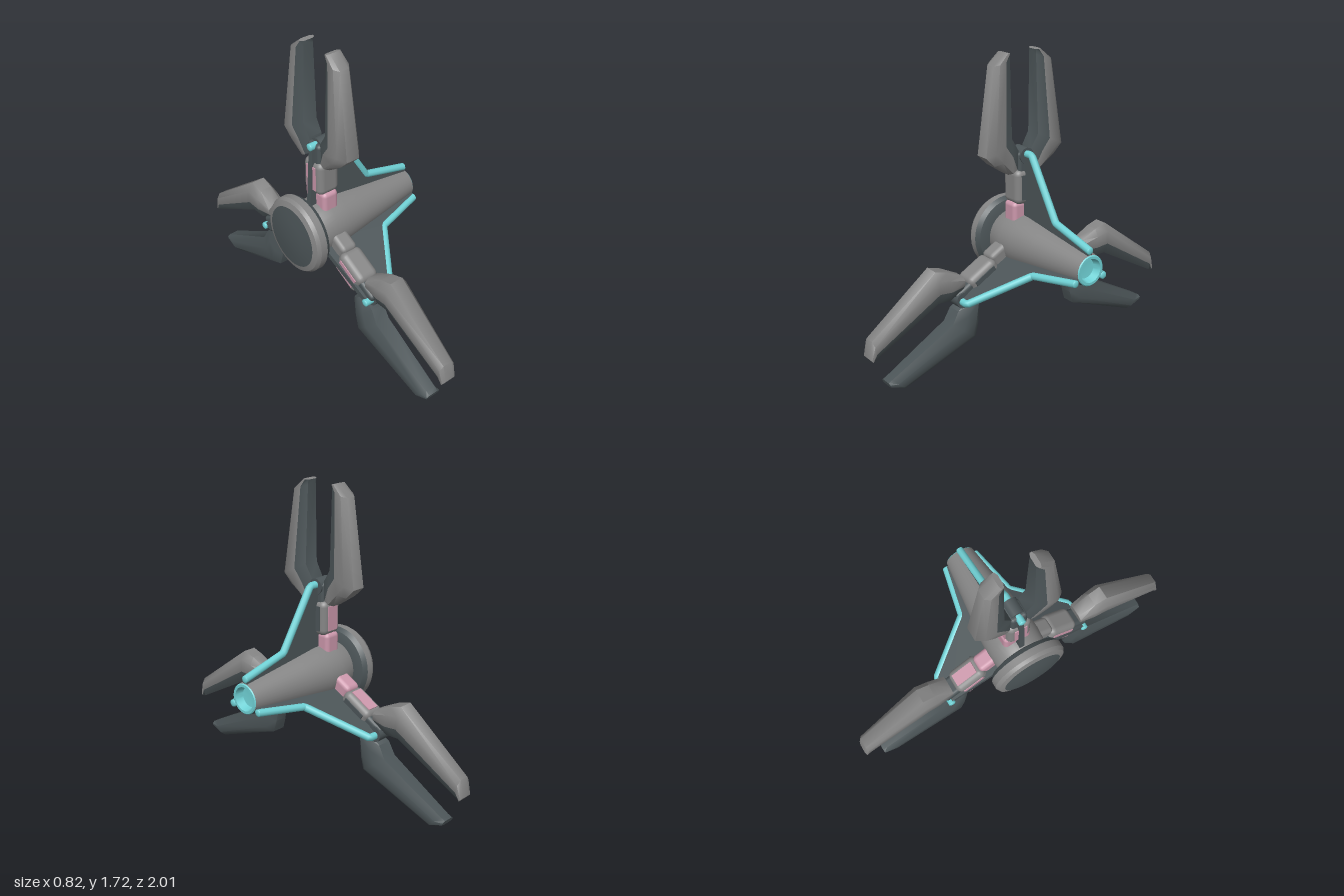
import * as THREE from 'three';
import { toCreasedNormals } from 'three/addons/utils/BufferGeometryUtils.js';
import { RoundedBoxGeometry } from 'three/addons/geometries/RoundedBoxGeometry.js';

const material = (name, color) => {
  const m = new THREE.MeshStandardMaterial({ color });
  m.name = name;
  return m;
};
const grey = material('grey', 0x858585);
const dark = material('dark slate', 0x4c5558);
const cyan = material('cyan', 0x70d2d6);
const pink = material('pink', 0xcb97ab);

const AXIS_X = -0.187; // where the arms sit along the body

function add(parent, name, geometry, mat, x = 0, y = 0, z = 0) {
  const mesh = new THREE.Mesh(geometry, mat);
  mesh.name = name;
  mesh.position.set(x, y, z);
  parent.add(mesh);
  return mesh;
}

// Surface turned around the x axis; points are [x, radius] from -x to +x
function turned(parent, name, points, mat, start = 0, length = Math.PI * 2) {
  const profile = points.map(([x, r]) => new THREE.Vector2(r, x));
  const geometry = new THREE.LatheGeometry(profile, Math.round(length * 6), start, length);
  geometry.rotateZ(-Math.PI / 2);
  return add(parent, name, toCreasedNormals(geometry, 0.5), mat);
}

// Claw blade lofted through eight-sided sections.
// Each station: inner z, inner radius, outer z, outer radius, half width in x
const STATIONS = [
  [0.040, 0.44, 0.105, 0.40, 0.056],
  [0.045, 0.53, 0.200, 0.465, 0.068],
  [0.088, 0.60, 0.255, 0.52, 0.073],
  [0.086, 1.03, 0.190, 1.00, 0.050],
  [0.086, 1.058, 0.112, 1.063, 0.045],
];
// Section corners: fraction from inner to outer edge, fraction of half width
const SECTION = [
  [0, -0.6], [0, 0.6], [0.35, 1], [0.75, 1],
  [1, 0.55], [1, -0.55], [0.75, -1], [0.35, -1],
];

function bladeGeometry(side) {
  const positions = [], index = [], n = SECTION.length;
  for (const [zi, yi, zo, yo, w] of STATIONS) {
    for (const [t, u] of SECTION) {
      positions.push(u * w, yi + (yo - yi) * t, side * (zi + (zo - zi) * t));
    }
  }
  const face = (a, b, c) => (side > 0 ? index.push(a, b, c) : index.push(a, c, b));
  const strip = (sides) => {
    for (const k of sides) {
      for (let s = 0; s < STATIONS.length - 1; s++) {
        const a = s * n + k, b = s * n + (k + 1) % n;
        face(a, a + n, b);
        face(b, a + n, b + n);
      }
    }
  };
  strip([7, 0, 1]); // inner faces
  const split = index.length;
  strip([2, 3, 4, 5, 6]); // outer faces
  const top = (STATIONS.length - 1) * n;
  for (let k = 1; k < n - 1; k++) {
    face(0, k, k + 1);
    face(top, top + k + 1, top + k);
  }
  const geometry = new THREE.BufferGeometry();
  geometry.setAttribute('position', new THREE.Float32BufferAttribute(positions, 3));
  geometry.setIndex(index);
  geometry.addGroup(0, split, 0);
  geometry.addGroup(split, index.length - split, 1);
  return toCreasedNormals(geometry, 0.85);
}

// Thin fin with a tube along its outer edge
function addFin(parent) {
  const outline = [[-0.28, 0.1], [-0.255, 0.5], [-0.09, 0.5], [0.115, 0.18], [0.4, 0.105], [0.4, 0.075]];
  const shape = new THREE.Shape(outline.map(([x, y]) => new THREE.Vector2(x, y)));
  const plate = new THREE.ExtrudeGeometry(shape, { depth: 0.03, bevelEnabled: false });
  add(parent, 'fin', plate, dark, 0, 0, -0.015);

  const edge = [[-0.262, 0.505], [-0.085, 0.505], [0.12, 0.178], [0.4, 0.108]]
    .map(([x, y]) => new THREE.Vector3(x, y, 0));
  const path = new THREE.CurvePath();
  for (let i = 0; i < edge.length - 1; i++) path.add(new THREE.LineCurve3(edge[i], edge[i + 1]));
  add(parent, 'finEdgeTube', new THREE.TubeGeometry(path, 60, 0.021, 10), cyan);
  for (const p of [edge[0], edge[3]]) {
    const cap = add(parent, 'tubeEnd', new THREE.SphereGeometry(0.021, 10, 8), cyan, p.x, p.y, p.z);
    cap.scale.x = 0.4;
  }
}

// One arm pointing along +y: shoulder, forearm, hinge and two blades
function addArm(parent, { angle, reach, pinkSide, shoulderMat, bladeMats }) {
  const arm = new THREE.Group();
  arm.name = 'arm';
  arm.rotation.x = angle;
  parent.add(arm);
  addFin(arm);

  add(arm, 'shoulder', new RoundedBoxGeometry(0.1, 0.16, 0.165, 2, 0.025), shoulderMat, AXIS_X, 0.155, 0);
  add(arm, 'forearm', new RoundedBoxGeometry(0.135, 0.2, 0.145, 3, 0.035), grey, AXIS_X, 0.32, 0);
  add(arm, 'forearmSidePanel', new THREE.BoxGeometry(0.07, 0.14, 0.008), pink, AXIS_X, 0.32, pinkSide * 0.073);
  add(arm, 'forearmEndPanel', new THREE.BoxGeometry(0.008, 0.14, 0.075), pink, AXIS_X - 0.068, 0.32, 0);
  add(arm, 'forearmFinPanel', new THREE.BoxGeometry(0.008, 0.14, 0.085), dark, AXIS_X + 0.068, 0.32, 0);
  add(arm, 'wrist', new RoundedBoxGeometry(0.11, 0.14, 0.1, 2, 0.02), dark, AXIS_X, 0.45, 0);
  const hinge = new THREE.CylinderGeometry(0.045, 0.045, 0.09, 16).rotateZ(Math.PI / 2);
  add(arm, 'hinge', hinge, dark, AXIS_X + 0.015, 0.495, 0);

  [1, -1].forEach((side, i) => {
    add(arm, 'clawBlade', bladeGeometry(side), [dark, bladeMats[i]], AXIS_X, reach, 0);
  });
}

export function createModel() {
  const model = new THREE.Group();
  model.name = 'threeArmedCraft';
  const hub = new THREE.Group();
  hub.name = 'hub';
  hub.position.y = 0.65;
  model.add(hub);

  // Tapered body with a dark belly between the lower fins
  const hull = [[-0.31, 0.135], [-0.27, 0.15], [-0.19, 0.157], [-0.1, 0.153], [0.05, 0.132], [0.405, 0.085]];
  turned(hub, 'body', hull, grey, Math.PI * 5 / 6, Math.PI * 4 / 3);
  turned(hub, 'belly', hull, dark, Math.PI / 6, Math.PI * 2 / 3);

  // Round end cap
  turned(hub, 'capFace', [[-0.41, 0], [-0.405, 0.1], [-0.395, 0.175]], dark);
  turned(hub, 'capRim', [[-0.395, 0.175], [-0.385, 0.205], [-0.365, 0.217], [-0.325, 0.217]], grey);
  turned(hub, 'capBack', [[-0.325, 0.217], [-0.3, 0.2], [-0.29, 0.17], [-0.285, 0.13]], dark);

  // Hollow nozzle at the narrow end
  turned(hub, 'nozzle', [[0.405, 0.085], [0.41, 0.08], [0.41, 0.066], [0.365, 0.056], [0.36, 0]], cyan);

  // Three arms around the body
  const lower = THREE.MathUtils.degToRad(118.8);
  addArm(hub, { angle: 0, reach: 0, pinkSide: -1, shoulderMat: pink, bladeMats: [grey, grey] });
  addArm(hub, { angle: lower, reach: 0.02, pinkSide: 1, shoulderMat: grey, bladeMats: [dark, grey] });
  addArm(hub, { angle: -lower, reach: 0.02, pinkSide: 1, shoulderMat: pink, bladeMats: [grey, dark] });
  return model;
}
